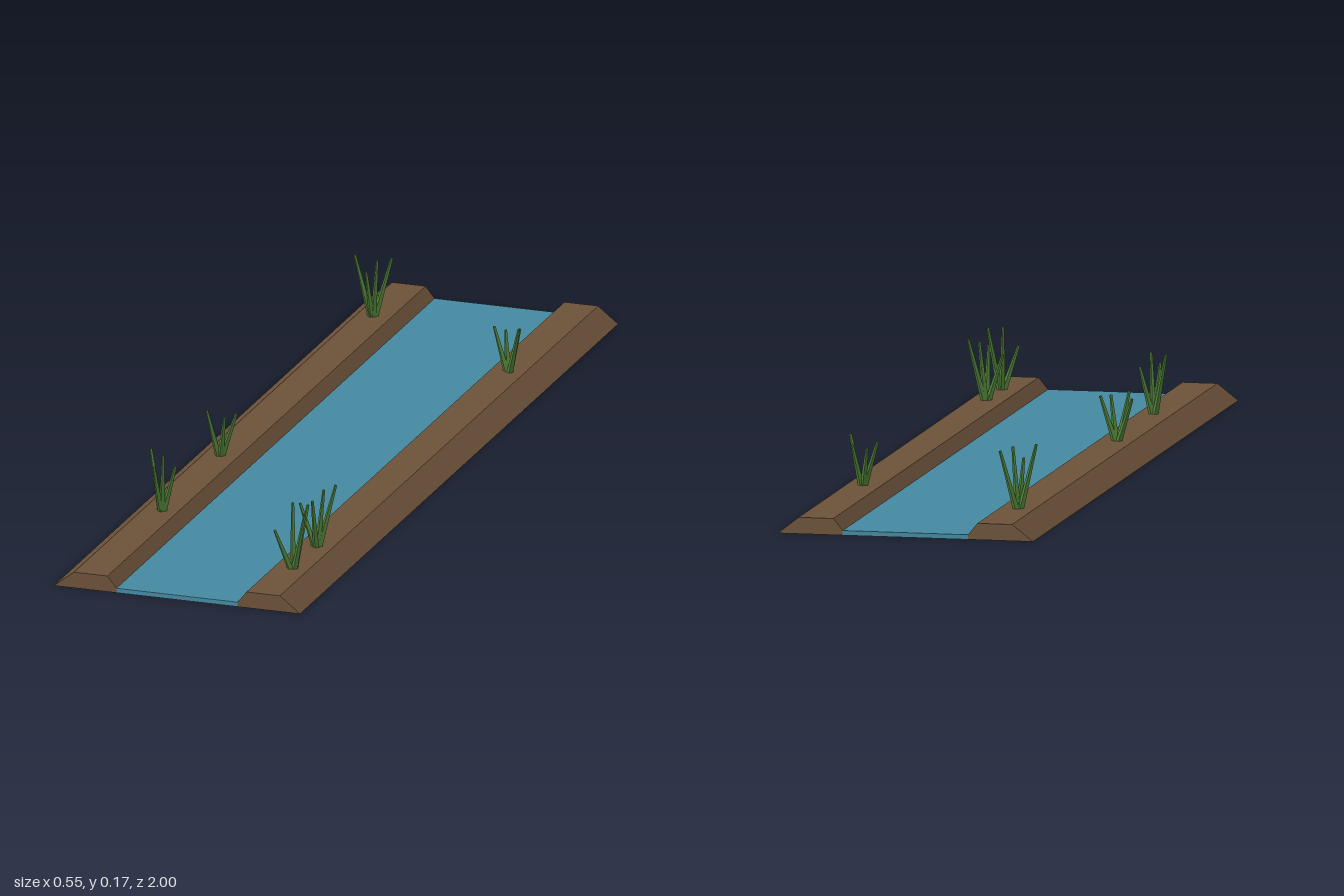
import * as THREE from 'three';

const material = (color) => new THREE.MeshStandardMaterial({ color, flatShading: true });
const earth = material(0x6b5139);
const waterBlue = material(0x4489a0);
const grass = material(0x4f8038);
const BANK_TOP = 0.035;
const UP = new THREE.Vector3(0, 1, 0);

// Trapezoid embankment running the full length
function makeBank(side) {
  const points = [[0.275, 0], [0.23, BANK_TOP], [0.155, BANK_TOP], [0.135, 0.01], [0.135, 0]];
  const shape = new THREE.Shape(points.map(([x, y]) => new THREE.Vector2(side * x, y)));
  const geometry = new THREE.ExtrudeGeometry(shape, { depth: 2, bevelEnabled: false });
  geometry.translate(0, 0, -1);
  const bank = new THREE.Mesh(geometry, earth);
  bank.name = side > 0 ? 'leftBank' : 'rightBank';
  return bank;
}

// Tapered blade from the tuft's foot to a leaning tip
function makeBlade([dx, height, dz]) {
  const foot = new THREE.Vector3(dx * 0.12, -0.002, dz * 0.12);
  const direction = new THREE.Vector3(dx, height, dz).sub(foot);
  const length = direction.length();
  const geometry = new THREE.CylinderGeometry(0.003, 0.007, length, 4);
  geometry.translate(0, length / 2, 0);
  const blade = new THREE.Mesh(geometry, grass);
  blade.name = 'grassBlade';
  blade.position.copy(foot);
  blade.quaternion.setFromUnitVectors(UP, direction.normalize());
  return blade;
}

// Each tuft: position x, z and the blade tips relative to its foot
const tufts = [
  { x: -0.195, z: -0.78, tips: [[0.034, 0.125, -0.025], [-0.036, 0.136, 0.012], [-0.006, 0.105, 0.025], [0.015, 0.129, 0.014]] },
  { x: -0.195, z: 0.18, tips: [[0.035, 0.095, -0.004], [-0.036, 0.092, -0.016], [-0.022, 0.104, 0.022], [0.018, 0.094, 0.022]] },
  { x: -0.19, z: 0.56, tips: [[0.029, 0.1, -0.005], [-0.03, 0.13, -0.015], [-0.008, 0.105, 0.028], [0.01, 0.128, 0.02]] },
  { x: 0.195, z: -0.535, tips: [[-0.034, 0.095, -0.006], [0.032, 0.105, 0.024], [-0.015, 0.083, -0.025], [0.018, 0.09, -0.022]] },
  { x: 0.195, z: 0.67, tips: [[0.034, 0.132, -0.024], [-0.033, 0.096, 0.012], [0.003, 0.112, 0.036], [0.014, 0.125, -0.005]] },
  { x: 0.195, z: 0.82, tips: [[0.033, 0.128, 0.018], [-0.03, 0.09, 0.03], [-0.008, 0.137, -0.022], [0.025, 0.135, -0.025]] },
];

export function createModel() {
  const model = new THREE.Group();
  model.name = 'canalSection';

  const water = new THREE.Mesh(new THREE.BoxGeometry(0.27, 0.01, 2), waterBlue);
  water.name = 'water';
  water.position.y = 0.005;
  model.add(water, makeBank(1), makeBank(-1));

  for (const { x, z, tips } of tufts) {
    const tuft = new THREE.Group();
    tuft.name = 'grassTuft';
    tuft.position.set(x, BANK_TOP, z);
    tuft.add(...tips.map(makeBlade));
    model.add(tuft);
  }
  return model;
}
